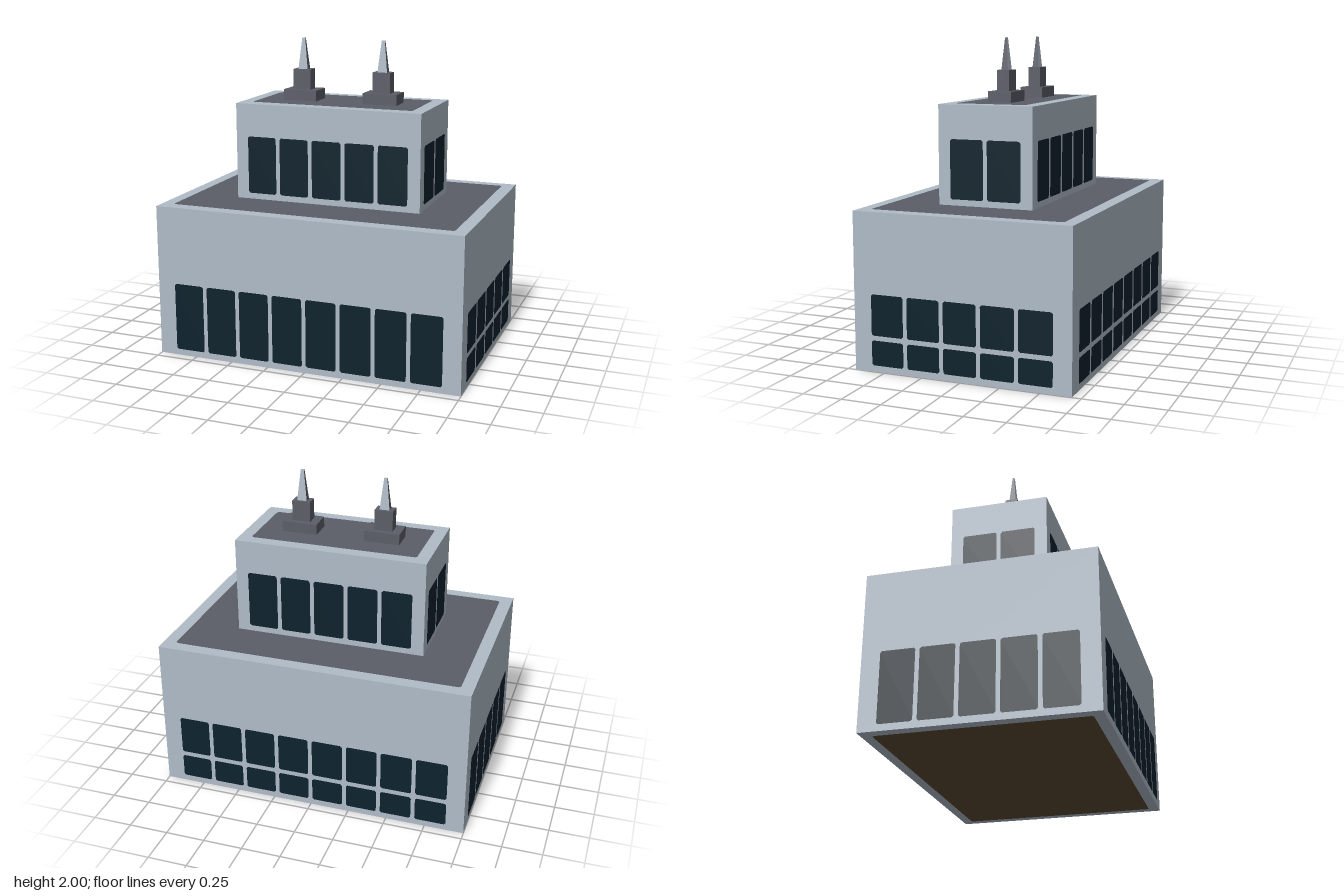
import * as THREE from 'three';

const mat = (name, color) => {
  const m = new THREE.MeshStandardMaterial({ color });
  m.name = name;
  return m;
};

export function createModel() {
  const wall = mat('pale grey wall', 0xb0bcc8);
  const roof = mat('dark grey roof', 0x5c5e68);
  const glass = mat('dark window glass', 0x0d222d);
  const ground = mat('brown underside', 0x5c4c30);

  const model = new THREE.Group();
  model.name = 'building';

  const add = (parent, name, geometry, material) => {
    const mesh = new THREE.Mesh(geometry, material);
    mesh.name = name;
    parent.add(mesh);
    return mesh;
  };

  const box = (parent, name, w, h, d, x, y0, z, material) => {
    const mesh = add(parent, name, new THREE.BoxGeometry(w, h, d), material);
    mesh.position.set(x, y0 + h / 2, z);
    return mesh;
  };

  // Flat plate with small clipped corners, facing +z
  const plate = (w, h, c = 0.01) => {
    const x = w / 2, y = h / 2;
    return new THREE.ShapeGeometry(new THREE.Shape([
      [-x + c, -y], [x - c, -y], [x, -y + c], [x, y - c],
      [x - c, y], [-x + c, y], [-x, y - c], [-x, -y + c],
    ].map(([a, b]) => new THREE.Vector2(a, b))));
  };

  // Horizontal plate facing up or down
  const deck = (name, w, d, y, material, up = 1) => {
    const mesh = add(model, name, plate(w, d, 0.012), material);
    mesh.rotation.x = -up * Math.PI / 2;
    mesh.position.y = y;
  };

  // A wall of windows: rows are [bottom, top], angle turns the wall about y
  const windows = (name, angle, dist, half, count, rows, gap = 0.026) => {
    const group = new THREE.Group();
    group.name = name;
    group.rotation.y = angle;
    const w = (2 * half - gap * (count - 1)) / count;
    for (const [y0, y1] of rows) {
      const geometry = plate(w, y1 - y0);
      for (let i = 0; i < count; i++) {
        const pane = add(group, 'window', geometry, glass);
        pane.position.set(-half + w / 2 + i * (w + gap), (y0 + y1) / 2, dist + 0.002);
      }
    }
    model.add(group);
  };

  // Two stacked blocks with inset roofs
  box(model, 'lowerBlock', 2, 0.98, 1.39, 0, 0, 0, wall);
  box(model, 'upperBlock', 1.23, 0.62, 0.615, 0, 0.98, 0, wall);
  deck('lowerRoof', 1.84, 1.23, 0.982, roof);
  deck('upperRoof', 1.07, 0.46, 1.602, roof);
  deck('underside', 1.87, 1.26, -0.002, ground, -1);

  // Tall panes on the front and -x side, two rows on the back and +x side
  const tall = [[0.04, 0.48]];
  const split = [[0.04, 0.195], [0.225, 0.48]];
  windows('frontWindows', 0, 0.695, 0.885, 8, tall);
  windows('backWindows', Math.PI, 0.695, 0.885, 8, split);
  windows('leftWindows', Math.PI / 2, 1, 0.58, 5, split);
  windows('rightWindows', -Math.PI / 2, 1, 0.58, 5, tall);

  // Upper storey windows
  const upper = [[1.02, 1.39]];
  for (const s of [0, 1]) {
    windows('upperLongWindows', s * Math.PI, 0.3075, 0.535, 5, upper);
    windows('upperEndWindows', (s - 0.5) * Math.PI, 0.615, 0.23, 2, upper);
  }

  // Two rooftop spires on stepped plinths
  const spireGeometry = new THREE.BoxGeometry(0.064, 0.2, 0.044);
  const p = spireGeometry.attributes.position;
  for (let i = 0; i < p.count; i++) {
    if (p.getY(i) > 0) {
      p.setX(i, p.getX(i) * 0.32);
      p.setZ(i, p.getZ(i) * 0.25);
    }
  }
  spireGeometry.computeVertexNormals();
  for (const side of [-1, 1]) {
    const tower = new THREE.Group();
    tower.name = side > 0 ? 'leftSpire' : 'rightSpire';
    tower.position.x = side * 0.27;
    box(tower, 'plinth', 0.226, 0.07, 0.154, 0, 1.6, 0, roof);
    box(tower, 'pedestal', 0.118, 0.13, 0.08, 0, 1.67, 0, roof);
    add(tower, 'spire', spireGeometry, [roof, roof, wall, wall, wall, wall]).position.y = 1.9;
    model.add(tower);
  }

  return model;
}
